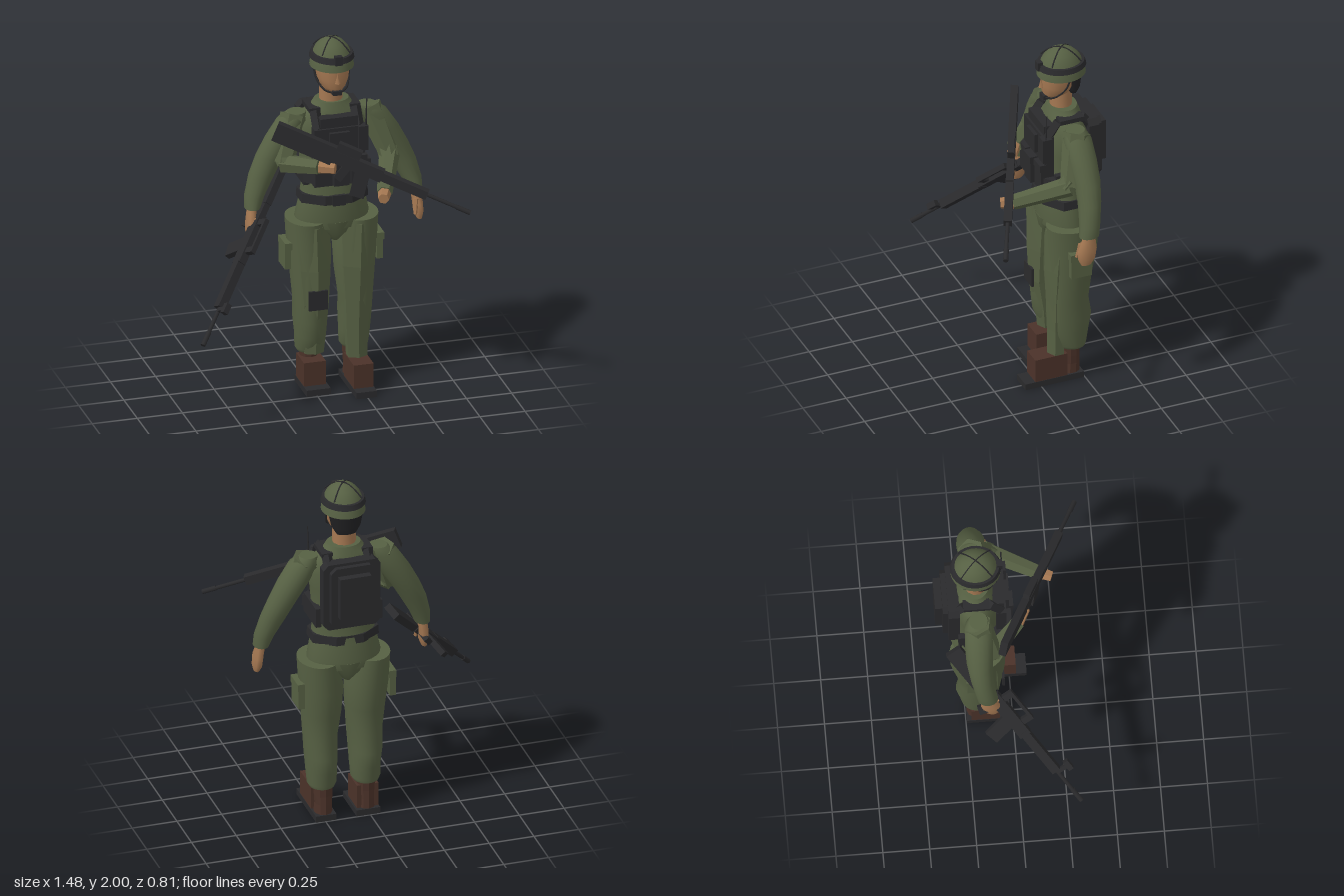
import * as THREE from 'three';

const mat = (name, color, extra = {}) => Object.assign(new THREE.MeshStandardMaterial({ color, ...extra }), { name });
const V = (...p) => new THREE.Vector3(...p);
const CX = 0.132; // body centre line

export function createModel() {
  const root = new THREE.Group();
  root.name = 'soldier';
  const green = mat('uniform green', 0x566043);
  const black = mat('gear black', 0x2a2a2c);
  const skin = mat('skin', 0xa57852);
  const brown = mat('boot brown', 0x4b3229);
  const hairMat = mat('hair', 0x222224);

  const add = (name, geo, m, parent = root) => {
    const mesh = new THREE.Mesh(geo, m);
    mesh.name = name;
    parent.add(mesh);
    return mesh;
  };
  const box = (name, m, x0, x1, y0, y1, z0, z1, parent = root) => {
    const mesh = add(name, new THREE.BoxGeometry(x1 - x0, y1 - y0, z1 - z0), m, parent);
    mesh.position.set((x0 + x1) / 2, (y0 + y1) / 2, (z0 + z1) / 2);
    return mesh;
  };
  // Tapered rod between two points
  const rod = (name, m, a, b, r0, r1, sides = 6) => {
    let geo = new THREE.CylinderGeometry(r1, r0, a.distanceTo(b), sides);
    if (sides < 9) {
      geo = geo.toNonIndexed();
      geo.computeVertexNormals();
    }
    const mesh = add(name, geo, m);
    mesh.position.copy(a).lerp(b, 0.5);
    mesh.quaternion.setFromUnitVectors(V(0, 1, 0), b.clone().sub(a).normalize());
    return mesh;
  };
  // Capped skin over elliptical rings [x, y, z, rx, rz], lowest ring first
  const loft = (name, m, rings, n = 24, flat = false) => {
    const pos = [], idx = [], last = rings.length - 1;
    const ring = ([x, y, z, rx, rz]) => {
      for (let j = 0; j < n; j++) {
        const a = ((j + 0.5) / n) * Math.PI * 2;
        pos.push(x + rx * Math.cos(a), y, z + rz * Math.sin(a));
      }
    };
    rings.forEach(ring);
    for (let i = 0; i < last; i++) for (let j = 0; j < n; j++) {
      const k = (j + 1) % n, a = i * n, b = a + n;
      idx.push(a + j, b + j, b + k, a + j, b + k, a + k);
    }
    [0, last].forEach((r) => {
      const s = pos.length / 3;
      ring(rings[r]);
      pos.push(...rings[r].slice(0, 3));
      for (let j = 0; j < n; j++) {
        const k = (j + 1) % n;
        idx.push(s + n, ...(r ? [s + k, s + j] : [s + j, s + k]));
      }
    });
    let geo = new THREE.BufferGeometry();
    geo.setAttribute('position', new THREE.Float32BufferAttribute(pos, 3));
    geo.setIndex(idx);
    if (flat) geo = geo.toNonIndexed();
    geo.computeVertexNormals();
    return add(name, geo, m);
  };

  // Jacket, pelvis and collar
  loft('jacket', green, [
    [CX, 0.93, -0.19, 0.19, 0.13], [CX, 0.98, -0.19, 0.203, 0.14], [CX, 1.08, -0.182, 0.182, 0.13],
    [CX, 1.2, -0.18, 0.165, 0.122], [CX, 1.4, -0.185, 0.185, 0.128], [CX, 1.5, -0.19, 0.205, 0.118],
    [CX, 1.57, -0.19, 0.18, 0.1], [CX, 1.605, -0.19, 0.12, 0.092], [CX, 1.645, -0.19, 0.094, 0.077]]);
  loft('pelvis', green, [[CX, 0.85, -0.19, 0.03, 0.09], [CX, 0.9, -0.19, 0.09, 0.13], [CX, 0.97, -0.19, 0.17, 0.14]]);
  loft('belt', black, [[CX, 1.08, -0.178, 0.2, 0.142], [CX, 1.13, -0.178, 0.196, 0.14]], 8, true);
  box('beltBuckle', black, CX - 0.035, CX + 0.035, 1.075, 1.135, -0.055, -0.038);

  // Head, neck and hair
  loft('neck', skin, [[CX - 0.005, 1.6, -0.185, 0.064, 0.06], [CX - 0.005, 1.76, -0.185, 0.062, 0.062]], 12);
  loft('head', skin, [
    [CX, 1.715, -0.15, 0.045, 0.06], [CX, 1.735, -0.155, 0.065, 0.077], [CX, 1.78, -0.168, 0.085, 0.095],
    [CX, 1.85, -0.175, 0.096, 0.105], [CX, 1.9, -0.18, 0.095, 0.105]], 16);
  const nose = add('nose', new THREE.ConeGeometry(0.016, 0.06, 4), skin);
  nose.position.set(CX, 1.8, -0.07);
  loft('hair', hairMat, [[CX, 1.72, -0.24, 0.055, 0.03], [CX, 1.76, -0.235, 0.08, 0.048], [CX, 1.86, -0.23, 0.1, 0.065]], 12);

  // Helmet with band, mount, crossed straps and chin strap
  const dome = [[0, 0.993], [0.3, 0.985], [0.55, 0.962], [0.75, 0.93], [0.89, 0.885], [0.96, 0.85], [1, 0.815]];
  loft('helmet', green, dome.map(([r, h]) => [CX, 1.84 + (h - 0.815) * 0.87, -0.185, 0.118 * r + 1e-4, 0.134 * r + 1e-4]).reverse(), 28);
  loft('helmetBand', black, [[CX, 1.888, -0.185, 0.12, 0.137], [CX, 1.917, -0.185, 0.112, 0.128]], 24);
  box('helmetMount', black, CX - 0.02, CX + 0.02, 1.885, 1.935, -0.072, -0.042);
  for (const s of [-1, 1]) {
    const pts = [-1, -0.7, -0.35, 0, 0.35, 0.7, 1].map((t) =>
      V(CX + t * s * 0.077, 1.996 - 0.006 * Math.abs(t) - 0.062 * t * t, -0.185 + t * 0.085));
    add('helmetStrap', new THREE.TubeGeometry(new THREE.CatmullRomCurve3(pts), 16, 0.004, 4), black);
    const side = [[0.1, 1.85, -0.2], [0.09, 1.775, -0.17], [0.062, 1.725, -0.115], [0.02, 1.712, -0.085]];
    const chin = new THREE.CatmullRomCurve3(side.map(([x, y, z]) => V(CX + s * x, y, z)));
    add('chinStrap', new THREE.TubeGeometry(chin, 12, 0.006, 4), black);
  }
  box('chinCup', black, CX - 0.025, CX + 0.025, 1.7, 1.724, -0.1, -0.072);

  // Armoured vest: front, back, shoulder straps and side panels
  box('vestFront', black, CX - 0.14, CX + 0.14, 1.2, 1.53, -0.085, -0.03);
  box('vestChest', black, CX - 0.105, CX + 0.105, 1.5, 1.585, -0.1, -0.042);
  for (const x of [-0.1, 0, 0.1]) {
    box('magazinePouch', black, CX + x - 0.042, CX + x + 0.042, 1.21, 1.36, -0.04, x ? -0.008 : 0.008);
    box('pouchFlap', black, CX + x - 0.044, CX + x + 0.044, 1.33, 1.37, -0.04, x ? -0.002 : 0.014);
  }
  box('chestPouch', black, CX - 0.06, CX + 0.05, 1.4, 1.51, -0.04, -0.01);
  box('radio', black, CX + 0.1, CX + 0.155, 1.39, 1.53, -0.07, -0.015);
  rod('antenna', black, V(0.277, 1.52, -0.035), V(0.283, 1.68, -0.038), 0.005, 0.003, 6);
  const panel = (name, hw, y0, y1, z, d) => {
    const b = 0.03, s = new THREE.Shape();
    [[-hw + b, y0], [hw - b, y0], [hw, y0 + b], [hw, y1 - b], [hw - b, y1], [-hw + b, y1], [-hw, y1 - b], [-hw, y0 + b]]
      .forEach(([x, y], i) => (i ? s.lineTo(x, y) : s.moveTo(x, y)));
    add(name, new THREE.ExtrudeGeometry(s, { depth: d, bevelEnabled: false }), black).position.set(CX, 0, z);
  };
  panel('vestBack', 0.16, 1.2, 1.59, -0.34, 0.06);
  panel('backPack', 0.125, 1.22, 1.575, -0.368, 0.03);
  box('packPouch', black, CX - 0.088, CX + 0.088, 1.29, 1.53, -0.407, -0.36);
  for (const s of [-1, 1]) {
    const x = CX + s * 0.112;
    box('shoulderStrap', black, x - 0.03, x + 0.03, 1.595, 1.62, -0.26, -0.12);
    rod('strapFront', black, V(x, 1.605, -0.12), V(x, 1.52, -0.06), 0.03, 0.03, 4);
    rod('strapBack', black, V(x, 1.605, -0.25), V(x, 1.53, -0.31), 0.03, 0.03, 4);
    const o = CX + s * 0.17;
    box('sidePanel', black, o - 0.016, o + 0.016, 1.2, 1.31, -0.29, -0.08);
    rod('sidePanelFront', black, V(o, 1.255, -0.09), V(CX + s * 0.12, 1.255, -0.045), 0.045, 0.045, 4);
  }

  // Legs, mirrored about the centre line
  for (const s of [-1, 1]) {
    const side = s < 0 ? 'right' : 'left';
    const X = (x) => CX + s * x;
    loft(side + 'Trouser', green, [
      [X(0.123), 0.2, -0.195, 0.068, 0.072], [X(0.122), 0.22, -0.19, 0.08, 0.082], [X(0.122), 0.3, -0.18, 0.083, 0.105],
      [X(0.125), 0.39, -0.183, 0.088, 0.117], [X(0.125), 0.5, -0.17, 0.092, 0.113], [X(0.122), 0.65, -0.178, 0.108, 0.125],
      [X(0.126), 0.8, -0.19, 0.118, 0.14], [X(0.141), 0.97, -0.19, 0.112, 0.145]]);
    // Faceted front of the trouser leg, the left one reaching further forward
    const f = s < 0 ? -0.04 : 0;
    loft(side + 'TrouserFront', green, [
      [X(0.115), s < 0 ? 0.2 : 0.165, -0.105 + f, 0.06, 0.05], [X(0.112), 0.32, -0.105 + f * 0.7, 0.068, 0.05],
      [X(0.115), 0.5, -0.11, 0.078, 0.062], [X(0.118), 0.7, -0.125, 0.095, 0.088], [X(0.125), 0.95, -0.15, 0.105, 0.11]], 6, true);
    const p = X(0.255);
    box(side + 'CargoPocket', green, p - 0.02, p + 0.014, 0.7, 0.82, -0.25, -0.13);
    box(side + 'PocketFlap', green, p - 0.02, p + 0.02, 0.81, 0.85, -0.255, -0.125);

    // Boots
    const z = s < 0 ? -0.105 : 0, x0 = s < 0 ? -0.055 : 0.19, x1 = s < 0 ? 0.066 : 0.3, xm = (x0 + x1) / 2;
    box(side + 'BootToe', brown, x0, x1, 0.035, 0.17, Math.max(-0.15 + z, -0.22), 0.035 + z);
    loft(side + 'BootShaft', brown, [
      [xm, 0.03, -0.185, 0.05, 0.058], [xm, 0.09, -0.19, 0.046, 0.052], [xm, 0.14, -0.19, 0.05, 0.05], [xm, 0.22, -0.19, 0.052, 0.054]], 10, true);
    box(side + 'Sole', black, x0 - 0.002, x1 + (s < 0 ? 0.01 : 0.002), 0, 0.035, -0.245, 0.093 + z);
  }
  box('kneePatch', black, -0.035, 0.07, 0.48, 0.59, -0.055, -0.042);

  // Hanging arms and hands
  for (const s of [-1, 1]) {
    const side = s < 0 ? 'right' : 'left';
    const X = (x) => CX + s * x;
    loft(side + 'HangingSleeve', green, [
      [X(0.45), 1.075, -0.155, 0.042, 0.055], [X(0.435), 1.14, -0.165, 0.055, 0.056], [X(0.39), 1.25, -0.182, 0.072, 0.062],
      [X(0.34), 1.35, -0.19, 0.08, 0.07], [X(0.28), 1.45, -0.188, 0.088, 0.076], [X(0.22), 1.55, -0.185, 0.082, 0.075],
      [X(0.195), 1.59, -0.185, 0.05, 0.05]], 18);
    loft(side + 'HangingHand', skin, [
      [X(0.468), 0.912, -0.13, 0.014, 0.028], [X(0.465), 0.95, -0.135, 0.026, 0.05], [X(0.462), 1.0, -0.14, 0.027, 0.054],
      [X(0.455), 1.05, -0.15, 0.026, 0.04], [X(0.45), 1.1, -0.155, 0.026, 0.034]], 10);
    rod(side + 'Thumb', skin, V(X(0.445), 1.03, -0.11), V(X(0.435), 0.95, -0.09), 0.016, 0.01);
  }

  // Faceted raised arms holding the upper rifle: shoulder, elbow, wrist, hand
  const raised = (side, a, b, c, d) => {
    rod(side + 'RaisedUpperArm', green, a, b, 0.075, 0.055);
    rod(side + 'RaisedForearm', green, b, c, 0.055, 0.042);
    rod(side + 'RaisedElbow', green, b.clone().lerp(a, 0.12), b.clone().lerp(c, 0.1), 0.056, 0.053);
    rod(side + 'RaisedHand', skin, c, d, 0.036, 0.03);
  };
  raised('left', V(0.335, 1.57, -0.19), V(0.43, 1.31, -0.11), V(0.32, 1.215, 0.17), V(0.295, 1.21, 0.235));
  raised('right', V(-0.075, 1.57, -0.19), V(-0.155, 1.325, -0.12), V(0.0, 1.345, 0.03), V(0.075, 1.345, 0.075));

  // Rifles: local x runs from butt to muzzle, y is up
  const rifle = (name, butt, muzzle, upHint) => {
    const g = new THREE.Group(), f = muzzle.clone().sub(butt);
    const L = f.length();
    f.normalize();
    const w = f.clone().cross(upHint).normalize(), u = w.clone().cross(f);
    g.quaternion.setFromRotationMatrix(new THREE.Matrix4().makeBasis(f, u, w));
    g.position.copy(butt);
    g.name = name;
    root.add(g);
    const part = (n, x0, x1, y0, y1, hw, tilt = 0) => {
      box(n, black, x0 * L, x1 * L, y0, y1, -hw, hw, g).rotation.z = tilt;
    };
    const tube = (n, x0, x1, r) => {
      const m = add(n, new THREE.CylinderGeometry(r, r, (x1 - x0) * L, 8), black, g);
      m.rotation.z = -Math.PI / 2;
      m.position.x = ((x0 + x1) / 2) * L;
    };
    tube('barrel', 0.7, 1, 0.011);
    tube('muzzle', 0.93, 1, 0.014);
    return { part, tube };
  };
  const a = rifle('chestRifle', V(-0.215, 1.545, -0.065), V(0.73, 1.14, 0.39), V(0, 1, 0));
  a.part('stock', 0, 0.3, -0.055, 0.052, 0.02);
  a.part('receiver', 0.28, 0.55, -0.035, 0.035, 0.02);
  a.part('handguard', 0.53, 0.78, -0.024, 0.024, 0.022);
  a.part('sight', 0.3, 0.42, 0.03, 0.085, 0.018);
  a.part('grip', 0.35, 0.39, -0.12, -0.02, 0.015, -0.25);
  a.part('magazine', 0.43, 0.5, -0.17, -0.02, 0.015, 0.15);

  const b = rifle('lowRifle', V(-0.09, 1.255, -0.31), V(-0.728, 0.52, 0.31), V(0.33, 0.4, 0.86));
  b.part('stock', 0, 0.24, -0.06, 0.03, 0.02);
  b.part('stockTube', 0.2, 0.34, -0.03, 0.025, 0.018);
  b.part('receiver', 0.3, 0.56, -0.035, 0.03, 0.022);
  b.part('handguard', 0.54, 0.8, -0.024, 0.024, 0.024);
  b.part('handleTop', 0.33, 0.51, 0.075, 0.092, 0.014);
  b.part('handleRear', 0.33, 0.36, 0.02, 0.085, 0.014);
  b.part('handleFront', 0.48, 0.51, 0.02, 0.085, 0.014);
  b.part('frontSight', 0.8, 0.82, 0, 0.075, 0.01);
  b.part('frontSightCap', 0.785, 0.835, 0.055, 0.085, 0.016);
  b.part('grip', 0.32, 0.36, -0.12, -0.02, 0.015, -0.3);
  b.part('magazine', 0.43, 0.5, -0.16, -0.02, 0.016, 0.2);
  return root;
}
